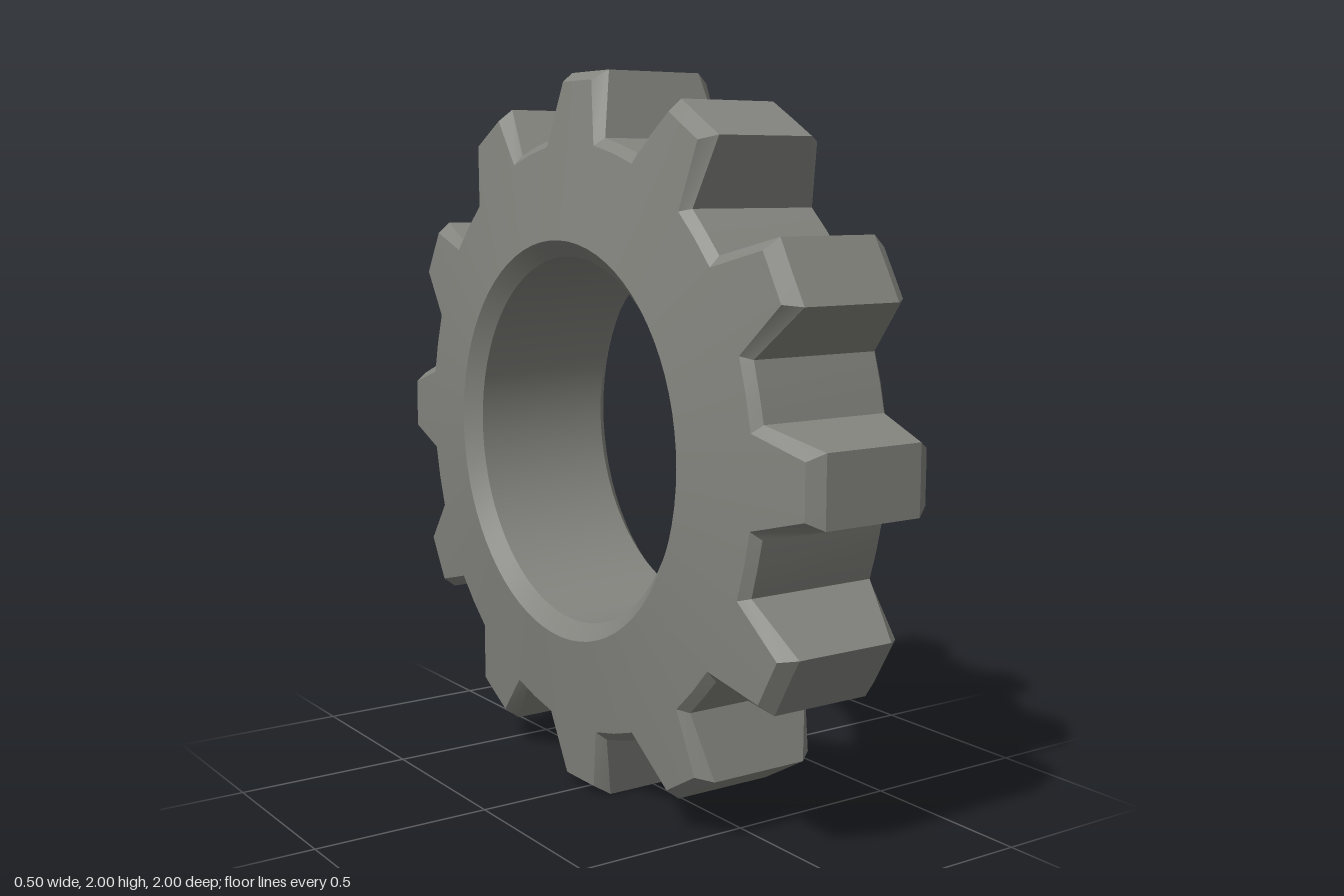
import * as THREE from 'three';
import { toCreasedNormals } from 'three/addons/utils/BufferGeometryUtils.js';

const TEETH = 12;
const STEP = (Math.PI * 2) / TEETH;

// Points of one tooth as [sideways, radial]: base, tip, tip middle, tip, base
const OUTER = [[-0.139, 0.82], [-0.092, 1], [0, 1], [0.092, 1], [0.139, 0.82]];
const INSET = [[-0.118, 0.80], [-0.071, 0.974], [0, 0.974], [0.071, 0.974], [0.118, 0.80]];

// Half width of the conical side faces and of the outer rim at a radius
const faceX = r => 0.25 - 0.143 * (r - 0.55);
const rimX = r => 0.19 - 0.25 * (r - 0.83);

// Turns a tooth outline plus the middle of the gap into a full ring of [y, z]
function toothRing(points, gapRadius) {
  const tooth = [...points, [Math.sin(STEP / 2) * gapRadius, Math.cos(STEP / 2) * gapRadius]];
  const ring = [];
  for (let t = 0; t < TEETH; t++) {
    const c = Math.cos(t * STEP), s = Math.sin(t * STEP);
    for (const [w, h] of tooth) ring.push([h * c - w * s, h * s + w * c]);
  }
  return ring;
}

// Plain circle whose columns line up with the tooth ring
function circleRing(r) {
  return Array.from({ length: TEETH * 6 }, (_, i) => {
    const a = (i - 2) * STEP / 6;
    return [r * Math.cos(a), r * Math.sin(a)];
  });
}

function gearGeometry() {
  const place = (ring, side, widthAt) =>
    ring.map(([y, z]) => [side * widthAt(Math.hypot(y, z)), y, z]);
  const half = side => [
    place(circleRing(0.505), side, () => 0.21), // bore
    place(circleRing(0.55), side, () => 0.25), // bore chamfer
    place(toothRing(INSET, 0.807), side, faceX), // edge of side face
    place(toothRing(OUTER, 0.83), side, rimX), // rim
  ];
  // Closed loop of cross-sections: right side outwards, left side back in
  const rings = [...half(-1), ...half(1).reverse()];
  const n = TEETH * 6, index = [];
  for (let j = 0; j < rings.length; j++) {
    const k = (j + 1) % rings.length;
    for (let i = 0; i < n; i++) {
      const m = (i + 1) % n;
      const a = j * n + i, b = j * n + m, c = k * n + i, d = k * n + m;
      index.push(a, b, c, b, d, c);
    }
  }
  const geometry = new THREE.BufferGeometry();
  geometry.setAttribute('position', new THREE.Float32BufferAttribute(rings.flat(2), 3));
  geometry.setIndex(index);
  return toCreasedNormals(geometry, 0.4);
}

export function createModel() {
  const metal = new THREE.MeshStandardMaterial({ color: 0x84847f });
  metal.name = 'grey metal';

  const gear = new THREE.Mesh(gearGeometry(), metal);
  gear.name = 'gearRing';
  gear.position.y = 1;

  const model = new THREE.Group();
  model.name = 'gear';
  model.add(gear);
  return model;
}
